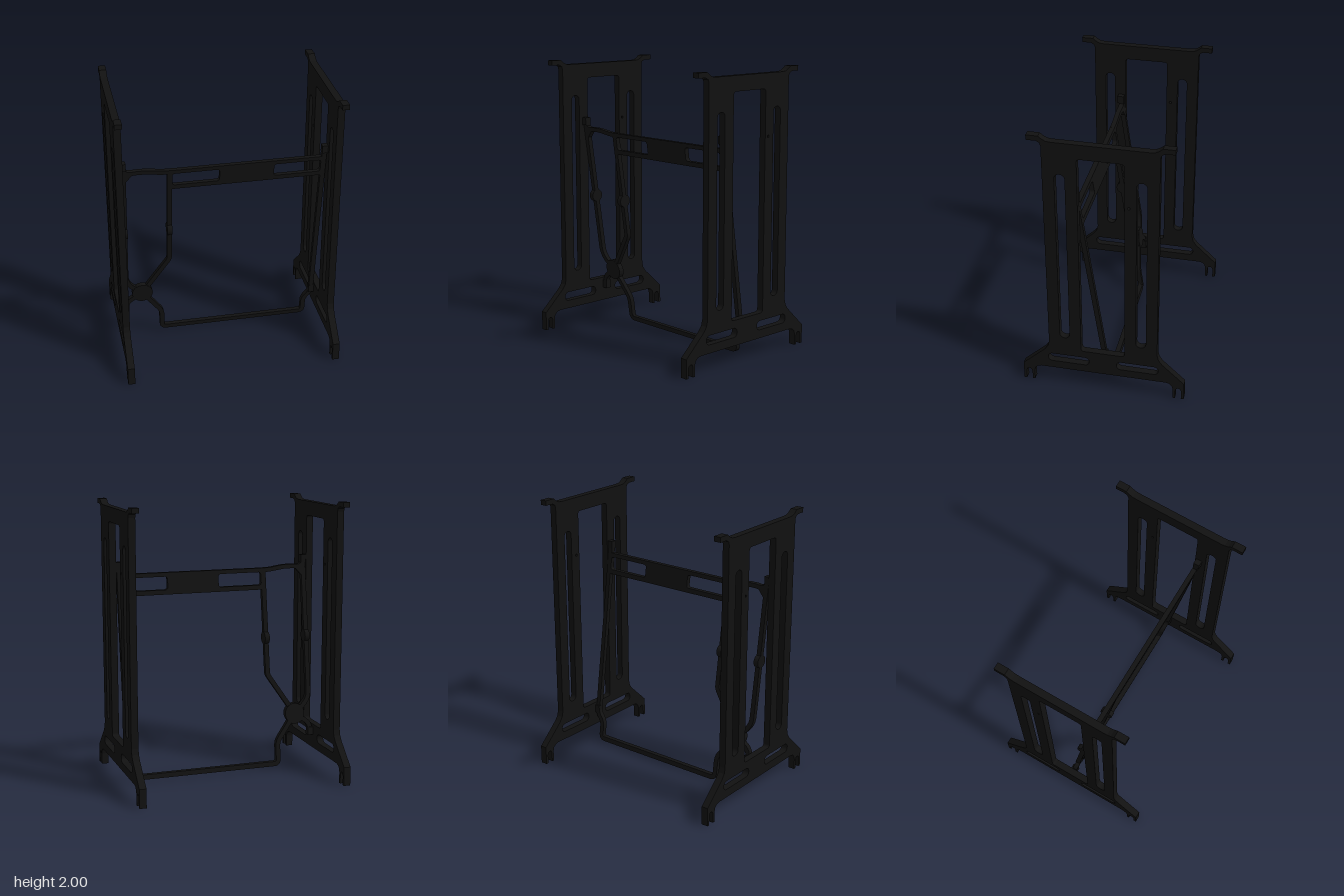
import * as THREE from 'three';

const iron = new THREE.MeshStandardMaterial({ color: 0x111111 });
const lean = (y) => 0.165 + (y - 1.4) * 0.144; // the brace leans forward with height
const BAR = 0.034;

function add(group, name, geometry) {
  const mesh = new THREE.Mesh(geometry, iron);
  mesh.name = name;
  group.add(mesh);
  return mesh;
}

// Rounded rectangle between two corners
function roundRect(x0, y0, x1, y1, r, Kind = THREE.Path) {
  const p = new Kind();
  p.moveTo(x0 + r, y0);
  p.lineTo(x1 - r, y0);
  p.absarc(x1 - r, y0 + r, r, -Math.PI / 2, 0);
  p.lineTo(x1, y1 - r);
  p.absarc(x1 - r, y1 - r, r, 0, Math.PI / 2);
  p.lineTo(x0 + r, y1);
  p.absarc(x0 + r, y1 - r, r, Math.PI / 2, Math.PI);
  p.lineTo(x0, y0 + r);
  p.absarc(x0 + r, y0 + r, r, Math.PI, Math.PI * 1.5);
  return p;
}

// Side frame: half outline mirrored in z, with its openings
function sideGeometry() {
  const half = [
    [0, 0.13], [0.45, 0.13], [0.475, 0.123], [0.493, 0.105], [0.5, 0.08], [0.5, 0],
    [0.518, 0], [0.518, 0.07], [0.525, 0.086], [0.539, 0.092], [0.553, 0.086], [0.56, 0.07], [0.56, 0],
    [0.58, 0], [0.58, 0.135], [0.42, 0.285], [0.395, 0.32], [0.385, 0.36],
    [0.385, 1.93], [0.392, 1.952], [0.415, 1.965], [0.48, 1.965], [0.48, 2], [0.4, 2],
    [0.375, 1.98], [0.35, 1.968], [0.32, 1.965],
  ];
  const mirrored = half.slice(1).reverse().map(([z, y]) => [-z, y]);
  const shape = new THREE.Shape([...half, ...mirrored].map(([z, y]) => new THREE.Vector2(z, y)));
  shape.holes.push(roundRect(-0.155, 0.31, 0.155, 1.86, 0.02));
  for (const s of [-1, 1]) {
    const slot = (a, b, y0, y1, r) =>
      roundRect(Math.min(s * a, s * b), y0, Math.max(s * a, s * b), y1, r);
    shape.holes.push(slot(0.235, 0.305, 0.41, 1.735, 0.034));
    shape.holes.push(slot(0.098, 0.395, 0.19, 0.255, 0.031));
  }
  shape.holes.push(new THREE.Path().absarc(-0.185, 1.537, 0.009, 0, Math.PI * 2));
  const g = new THREE.ExtrudeGeometry(shape, { depth: 0.05, bevelEnabled: false, curveSegments: 8 });
  return g.rotateY(-Math.PI / 2).translate(0.025, 0, 0);
}

// Extrude a front-facing shape and shear it into the leaning plane
function leaning(shape, depth = BAR) {
  const g = new THREE.ExtrudeGeometry(shape, { depth, bevelEnabled: false, curveSegments: 10 });
  g.translate(0, 0, -depth / 2);
  const p = g.attributes.position;
  for (let i = 0; i < p.count; i++) p.setZ(i, p.getZ(i) + lean(p.getY(i)));
  g.computeVertexNormals();
  return g;
}

// Flat bar following a polyline whose corners are rounded
function bar(points, radius = 0.04, width = BAR) {
  const v = points.map(([x, y]) => new THREE.Vector2(x, y));
  const line = [v[0]];
  for (let i = 1; i < v.length - 1; i++) {
    const toward = (q) => {
      const d = q.clone().sub(v[i]);
      return v[i].clone().add(d.setLength(Math.min(radius, d.length() * 0.45)));
    };
    const curve = new THREE.QuadraticBezierCurve(toward(v[i - 1]), v[i], toward(v[i + 1]));
    line.push(...curve.getPoints(6));
  }
  line.push(v[v.length - 1]);
  const left = [], right = [];
  line.forEach((q, i) => {
    const a = line[Math.max(i - 1, 0)], b = line[Math.min(i + 1, line.length - 1)];
    const n = b.clone().sub(a).normalize().multiplyScalar(width / 2);
    left.push(new THREE.Vector2(q.x - n.y, q.y + n.x));
    right.push(new THREE.Vector2(q.x + n.y, q.y - n.x));
  });
  return leaning(new THREE.Shape([...right, ...left.reverse()]));
}

export function createModel() {
  const model = new THREE.Group();
  model.name = 'tableBase';

  // Two side frames
  const side = sideGeometry();
  add(model, 'leftSideFrame', side).position.x = 0.75;
  add(model, 'rightSideFrame', side).position.x = -0.75;

  // Leaning cross brace
  const brace = new THREE.Group();
  brace.name = 'crossBrace';
  model.add(brace);
  const hub = [-0.585, 0.4];
  add(brace, 'rightLeg', bar([[-0.703, 1.54], [-0.703, 0.53], [-0.67, 0.47], hub]));
  add(brace, 'rightFootArm', bar([hub, [-0.7, 0.32], [-0.705, 0.24]]));
  add(brace, 'innerLeg', bar([[-0.385, 1.45], [-0.385, 0.7], hub], 0.02));
  add(brace, 'bottomRail', bar(
    [hub, [-0.44, 0.2], [-0.44, 0.04], [0.65, 0.04], [0.65, 0.17], [0.703, 0.23], [0.703, 0.3]], 0.035));
  add(brace, 'leftLeg', bar([[0.703, 1.55], [0.703, 0.24]]));
  add(brace, 'topArm', bar(
    [[-0.703, 1.42], [-0.695, 1.445], [-0.65, 1.485], [-0.55, 1.485], [-0.43, 1.467], [-0.36, 1.467]], 0.03, 0.03));
  add(brace, 'topArmCorner', leaning(new THREE.Shape(
    [[-0.71, 1.42], [-0.685, 1.42], [-0.64, 1.472], [-0.64, 1.497], [-0.67, 1.5], [-0.71, 1.52]]
      .map(([x, y]) => new THREE.Vector2(x, y)))));

  // Double top rail with its solid centre plate
  const rail = roundRect(-0.4, 1.325, 0.71, 1.481, 0.012, THREE.Shape);
  rail.holes.push(roundRect(-0.365, 1.358, -0.035, 1.452, 0.018));
  rail.holes.push(roundRect(0.35, 1.358, 0.683, 1.452, 0.018));
  add(brace, 'topRail', leaning(rail));

  // Hub where the arms cross
  add(brace, 'hub', leaning(new THREE.Shape().absarc(hub[0], hub[1], 0.076, 0, Math.PI * 2), 0.04));

  // Round bosses halfway up the two right-hand legs
  for (const x of [-0.703, -0.385]) {
    const boss = new THREE.CylinderGeometry(0.045, 0.045, 0.036, 24).rotateZ(Math.PI / 2);
    add(brace, 'legBoss', boss).position.set(x, 0.97, lean(0.97));
  }

  // Mounting lugs joining the brace to the side frames
  for (const s of [-1, 1]) {
    for (const [y, h] of [[1.54, 0.055], [0.26, 0.06]]) {
      add(brace, 'mountingLug', new THREE.BoxGeometry(0.05, h, 0.045))
        .position.set(s * 0.71, y, lean(y));
    }
  }
  return model;
}
